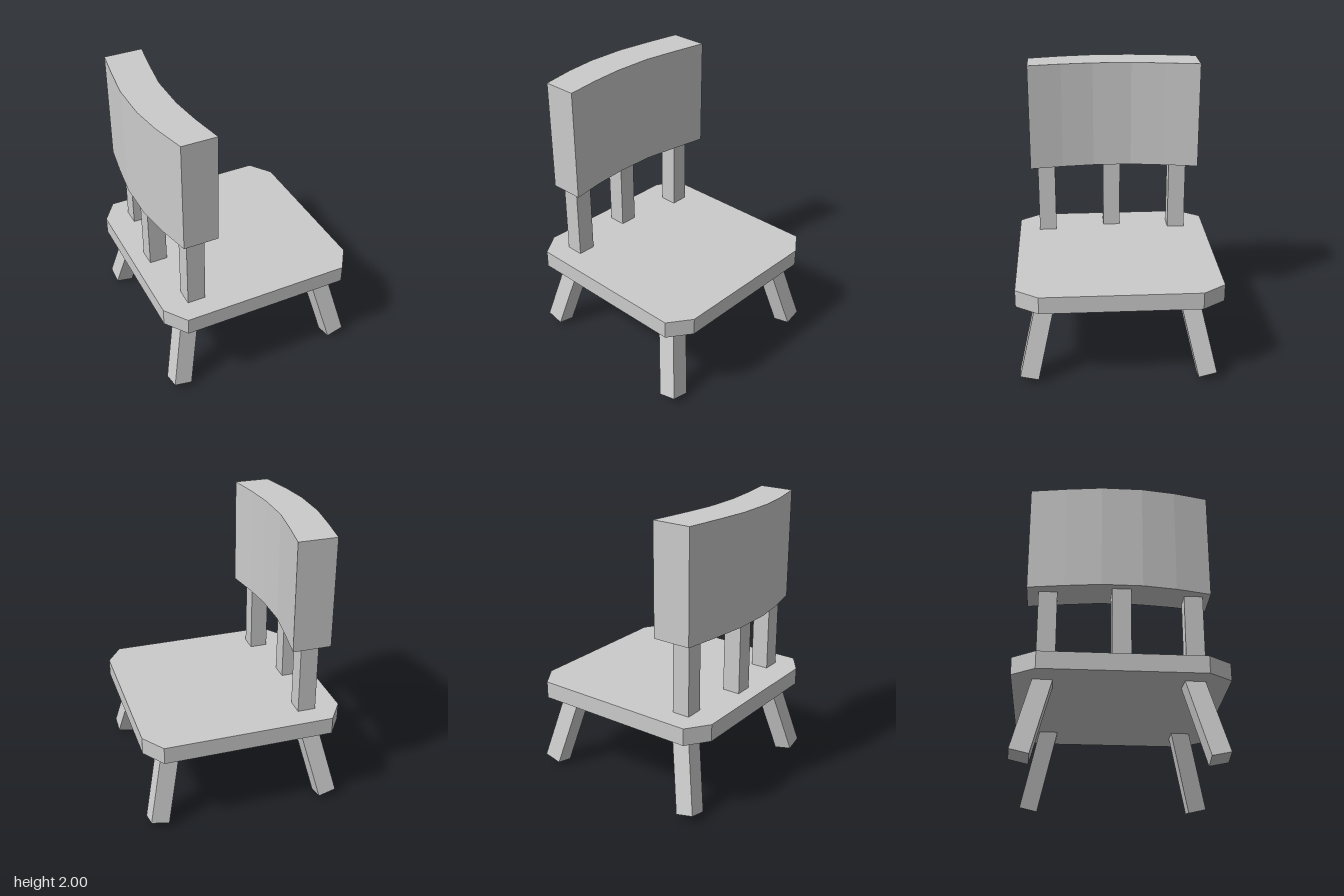
import * as THREE from 'three';

const material = new THREE.MeshStandardMaterial({ color: 0xcccccc, flatShading: true });

function addMesh(parent, name, geometry) {
  const mesh = new THREE.Mesh(geometry, material);
  mesh.name = name;
  parent.add(mesh);
  return mesh;
}

// Upright slab from an [x, z] outline between two heights
function slab(outline, bottom, top) {
  const shape = new THREE.Shape(outline.map(([x, z]) => new THREE.Vector2(x, -z)));
  const geometry = new THREE.ExtrudeGeometry(shape, { depth: top - bottom, bevelEnabled: false });
  return geometry.rotateX(-Math.PI / 2).translate(0, bottom, 0);
}

export function createModel() {
  const chair = new THREE.Group();
  chair.name = 'chair';

  // Square seat with clipped corners
  const half = 0.712, cx = 0.6, cz = 0.553;
  addMesh(chair, 'seat', slab([
    [half, -cz], [half, cz], [cx, half], [-cx, half],
    [-half, cz], [-half, -cz], [-cx, -half], [cx, -half],
  ], 0.573, 0.695));

  // Curved backrest: rear curve, then front curve
  addMesh(chair, 'backrest', slab([
    [-0.585, -0.637], [-0.625, -0.385], [-0.656, -0.14], [-0.656, 0.14], [-0.625, 0.37], [-0.57, 0.61],
    [-0.325, 0.61], [-0.365, 0.37], [-0.389, 0.14], [-0.389, -0.14], [-0.354, -0.385], [-0.312, -0.637],
  ], 1.223, 2));

  // Three posts, the middle one set further back
  for (const [x, z] of [[-0.468, 0.495], [-0.54, 0], [-0.468, -0.495]]) {
    const post = addMesh(chair, 'backPost', new THREE.BoxGeometry(0.128, 0.57, 0.128));
    post.position.set(x, 0.96, z);
  }

  // Four splayed legs, each turned a quarter around the centre
  const legGeometry = new THREE.BoxGeometry(0.13, 0.6, 0.13).translate(0, 0.3, 0);
  for (let i = 0; i < 4; i++) {
    const corner = new THREE.Group();
    corner.name = 'legCorner';
    corner.rotation.y = i * Math.PI / 2;
    chair.add(corner);
    const leg = addMesh(corner, 'leg', legGeometry);
    leg.position.set(0.603, 0.03, 0.637);
    leg.rotation.set(-0.229, 0, 0.227);
  }

  return chair;
}
